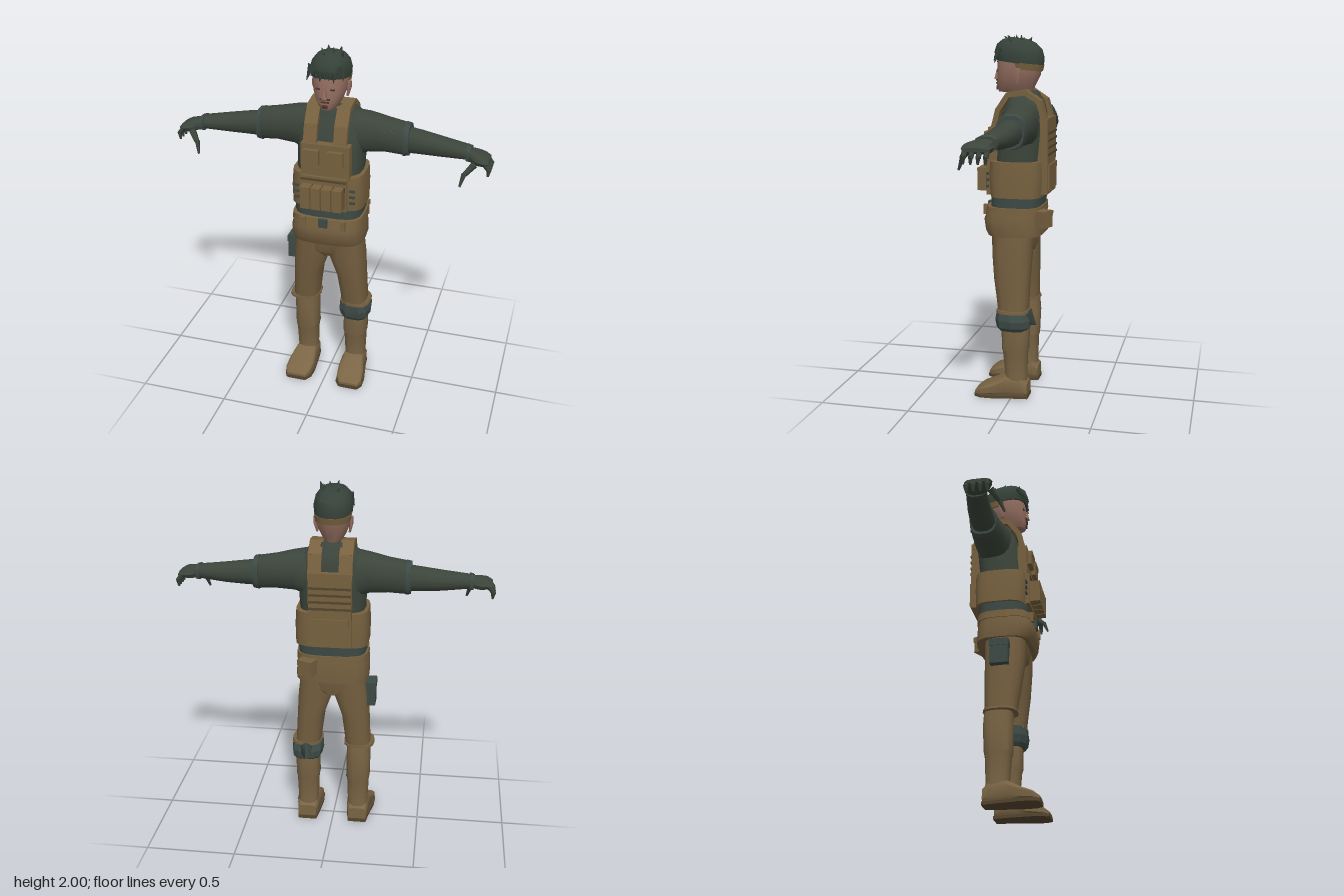
import * as THREE from 'three';
import { toCreasedNormals } from 'three/addons/utils/BufferGeometryUtils.js';

const mat = (name, color) => Object.assign(new THREE.MeshStandardMaterial({ color }), { name });

// Closed loft along an axis. Each section: [position, a0, a1, b0, b1],
// with (a,b) = (z,x) along y, (y,z) along x, (x,y) along z.
function loft(axis, sections, sides = 14, p = 2.6, crease = 0.7) {
  const pos = [], idx = [], n = sides, m = sections.length;
  const put = (t, a, b) => pos.push(...(axis === 'y' ? [b, t, a] : axis === 'x' ? [t, a, b] : [a, b, t]));
  const bulge = v => Math.sign(v) * Math.abs(v) ** (2 / p);
  for (const [t, a0, a1, b0, b1] of sections)
    for (let i = 0; i < n; i++) {
      const u = (i + 0.5) / n * Math.PI * 2;
      put(t, (a0 + a1) / 2 + (a1 - a0) / 2 * bulge(Math.cos(u)), (b0 + b1) / 2 + (b1 - b0) / 2 * bulge(Math.sin(u)));
    }
  for (const s of [sections[0], sections[m - 1]]) put(s[0], (s[1] + s[2]) / 2, (s[3] + s[4]) / 2);
  for (let i = 0; i < n; i++) {
    const j = (i + 1) % n;
    for (let k = 0; k < m - 1; k++) {
      const r = k * n, q = r + n;
      idx.push(r + i, r + j, q + j, r + i, q + j, q + i);
    }
    idx.push(m * n, j, i, m * n + 1, (m - 1) * n + i, (m - 1) * n + j);
  }
  const g = new THREE.BufferGeometry();
  g.setAttribute('position', new THREE.Float32BufferAttribute(pos, 3));
  g.setIndex(idx);
  return toCreasedNormals(g, crease);
}

// Box from its bounds
const box = (x0, x1, y0, y1, z0, z1) =>
  new THREE.BoxGeometry(x1 - x0, y1 - y0, z1 - z0).translate((x0 + x1) / 2, (y0 + y1) / 2, (z0 + z1) / 2);

// Tapered rod between two points
function rod(a, b, r0, r1, sides = 5) {
  const A = new THREE.Vector3(...a), d = new THREE.Vector3(...b).sub(A);
  return new THREE.CylinderGeometry(r1, r0, d.length(), sides)
    .applyQuaternion(new THREE.Quaternion().setFromUnitVectors(new THREE.Vector3(0, 1, 0), d.clone().normalize()))
    .translate(A.x + d.x / 2, A.y + d.y / 2, A.z + d.z / 2);
}

// Copy reflected in x, with the corner order restored
function reflect(geo) {
  const g = geo.index ? geo.toNonIndexed() : geo.clone();
  g.deleteAttribute('uv');
  for (const key of ['position', 'normal']) {
    const a = g.attributes[key], v = i => [-a.getX(i), a.getY(i), a.getZ(i)];
    for (let i = 0; i < a.count; i += 3) {
      const [p, q, r] = [v(i), v(i + 1), v(i + 2)];
      a.setXYZ(i, ...p); a.setXYZ(i + 1, ...r); a.setXYZ(i + 2, ...q);
    }
  }
  return g;
}

export function createModel() {
  const model = new THREE.Group();
  model.name = 'soldier';
  const tan = mat('vestTan', 0x77613f), khaki = mat('trouserKhaki', 0x735e3f), boot = mat('bootTan', 0x7a6545),
    green = mat('shirtGreen', 0x3c453b), slate = mat('padSlate', 0x3d4a45), hairMat = mat('hairDark', 0x364239),
    skin = mat('skin', 0x946e60), dark = mat('faceDark', 0x4a352d), seam = mat('seamBrown', 0x54452e);
  const add = (name, geo, m) => {
    const mesh = new THREE.Mesh(geo, m);
    mesh.name = name;
    model.add(mesh);
  };
  const pair = (name, geo, m) => { add(name + 'Left', geo, m); add(name + 'Right', reflect(geo), m); };

  // Head and neck
  add('head', loft('y', [[1.6, -.1, .03, -.06, .06], [1.69, -.085, .05, -.06, .06], [1.694, -.08, .11, -.045, .045],
    [1.725, -.09, .12, -.064, .064], [1.78, -.118, .116, -.086, .086], [1.85, -.13, .114, -.093, .093],
    [1.93, -.11, .09, -.08, .08]], 14, 2.4), skin);
  add('nose', new THREE.ConeGeometry(.018, .06, 4).rotateY(Math.PI / 4).translate(0, 1.79, .122), skin);
  add('mouth', box(-.022, .022, 1.737, 1.744, .116, .123), dark);
  add('moustache', box(-.027, .027, 1.752, 1.76, .114, .122), dark);
  add('chinBeard', box(-.014, .014, 1.705, 1.725, .113, .121), dark);
  pair('eye', box(.022, .05, 1.803, 1.811, .105, .112), dark);
  pair('ear', loft('y', [[1.74, -.02, .0, .08, .092], [1.79, -.035, .01, .085, .106], [1.825, -.03, .005, .085, .104]], 8), skin);

  // Hair, tilted down towards the back, with a band under it
  const tilt = geo => {
    const p = geo.attributes.position;
    for (let i = 0; i < p.count; i++) p.setY(i, p.getY(i) + .12 * p.getZ(i));
    return geo;
  };
  add('hair', tilt(loft('y', [[1.85, -.136, .118, -.1, .1], [1.89, -.14, .132, -.105, .105], [1.935, -.128, .118, -.094, .094],
    [1.965, -.095, .085, -.07, .07], [1.98, -.05, .04, -.035, .035]], 14, 2.3)), hairMat);
  add('headBand', tilt(loft('y', [[1.82, -.131, .06, -.095, .095], [1.855, -.138, .06, -.1, .1]], 14, 2.3)), tan);
  for (let i = 0; i < 9; i++) {
    const x = (i - 4) * .022, z = .115 - 1.6 * x * x;
    add('fringeLock', rod([x * .9, 1.925, z - .02], [x * 1.1, 1.85 + .013 * ((i * 5) % 3), z + .012], .019, .002, 4), hairMat);
    const u = i * 2.4, r = .015 + .006 * i;
    add('topTuft', rod([r * Math.cos(u), 1.955, r * Math.sin(u)],
      [1.3 * r * Math.cos(u), 1.997 - .003 * ((i * 2) % 5), 1.5 * r * Math.sin(u) + .01], .016, .001, 4), hairMat);
  }

  // Shirt body and collar
  add('shirt', loft('y', [[1.05, -.135, .125, -.182, .182], [1.3, -.14, .118, -.178, .178], [1.48, -.155, .1, -.185, .185],
    [1.59, -.15, .072, -.185, .185], [1.645, -.135, .045, -.15, .15], [1.68, -.11, .035, -.095, .095]], 18, 3), green);
  add('collar', loft('y', [[1.64, -.13, .065, -.115, .115], [1.685, -.115, .055, -.085, .085], [1.7, -.1, .045, -.07, .07]], 14), green);

  // Arms, sleeve cuffs and gloves
  pair('sleeve', loft('x', [[.13, 1.4, 1.655, -.14, .06], [.2, 1.43, 1.645, -.147, .045], [.3, 1.437, 1.622, -.14, .03],
    [.4, 1.43, 1.605, -.128, .022], [.415, 1.438, 1.598, -.12, .016]], 14, 2.5), green);
  pair('sleeveCuff', loft('x', [[.392, 1.427, 1.608, -.131, .026], [.42, 1.432, 1.602, -.126, .022]], 14, 2.8), slate);
  pair('forearm', loft('x', [[.38, 1.445, 1.587, -.118, .016], [.47, 1.447, 1.575, -.115, .018], [.58, 1.45, 1.558, -.1, .022],
    [.75, 1.463, 1.532, -.07, .035]], 12, 2.3), green);
  pair('gloveCuff', loft('x', [[.725, 1.453, 1.54, -.076, .042], [.745, 1.453, 1.535, -.073, .045]], 10, 2.4), slate);
  pair('hand', loft('x', [[.735, 1.463, 1.525, -.06, .04], [.785, 1.452, 1.518, -.066, .075], [.82, 1.458, 1.508, -.062, .085],
    [.848, 1.468, 1.49, -.05, .07]], 10, 2.6), green);
  for (let i = 0; i < 4; i++) {
    const z = -.045 + i * .036;
    pair('finger', rod([.825, 1.48, z], [.853, 1.445, z], .015, .013), green);
    pair('fingerTip', rod([.853, 1.45, z], [.848, 1.412, z + .004], .013, .006), green);
  }
  pair('thumb', rod([.775, 1.47, .065], [.733, 1.425, .105], .02, .014), green);
  pair('thumbTip', rod([.733, 1.43, .103], [.717, 1.365, .128], .014, .006), green);
  add('armPatch', new THREE.BoxGeometry(.06, .045, .009).rotateX(-.75).translate(.31, 1.578, .008), slate);
  add('armPatchInset', new THREE.BoxGeometry(.042, .03, .009).rotateX(-.75).translate(.31, 1.581, .011), green);

  // Vest: side wrap, plates and shoulder straps
  add('sideWrap', loft('y', [[1.135, -.155, .132, -.2, .2], [1.24, -.16, .14, -.202, .202], [1.33, -.158, .135, -.196, .196]], 20, 4.2), tan);
  add('frontPlateUpper', box(-.128, .138, 1.32, 1.51, .085, .138), tan);
  add('frontPlateLower', box(-.128, .128, 1.14, 1.33, .1, .152), tan);
  add('backPlate', box(-.115, .115, 1.15, 1.56, -.185, -.13), tan);
  add('backPanel', box(-.1, .1, 1.17, 1.31, -.194, -.18), tan);
  const path = [[.118, 1.49], [.09, 1.6], [.035, 1.682], [-.06, 1.695], [-.135, 1.645], [-.168, 1.53]];
  path.slice(1).forEach(([z, y], i) => {
    const [z0, y0] = path[i], dy = y - y0, dz = z - z0;
    pair('shoulderStrap', new THREE.BoxGeometry(.072, .028, Math.hypot(dy, dz) + .012)
      .rotateX(Math.atan2(dy, -dz)).translate(.082, (y + y0) / 2, (z + z0) / 2), tan);
  });
  pair('chestPouch', box(.024, .108, 1.4, 1.482, .13, .163), tan);
  pair('chestPouchFlap', box(.022, .11, 1.455, 1.484, .158, .167), tan);
  for (let i = 0; i < 4; i++) {
    const x = -.087 + i * .058;
    add('magazinePouch', box(x - .026, x + .026, 1.16, 1.285, .145, .207), tan);
    add('pouchGap', box(x + .0262, x + .0318, 1.16, 1.285, .15, .155), seam);
  }
  for (let i = 0; i < 4; i++) {
    add('backWebbing', box(-.113, .113, 1.36 + i * .038, 1.372 + i * .038, -.191, -.183), seam);
    if (i < 3) pair('sideLoop', box(.14, .17, 1.185 + i * .035, 1.198 + i * .035, .134, .143), slate);
  }
  add('frontWebbing', box(-.126, .126, 1.306, 1.318, .15, .157), seam);

  // Waist band, belt and jacket hem
  add('waistBand', loft('y', [[1.07, -.142, .135, -.187, .187], [1.14, -.145, .135, -.188, .188]], 18, 3.6), slate);
  add('jacketHem', loft('y', [[.92, -.152, .15, -.2, .2], [.95, -.152, .165, -.203, .203], [1.01, -.148, .174, -.2, .2],
    [1.05, -.143, .158, -.193, .193]], 18, 3.6), khaki);
  add('belt', loft('y', [[1.038, -.152, .165, -.2, .2], [1.08, -.15, .158, -.198, .198]], 18, 3.6), tan);
  add('buckle', box(-.025, .025, 1.035, 1.085, .155, .172), slate);
  pair('beltLoop', box(.1, .125, 1.03, 1.085, .145, .17), tan);
  add('backPouch', new THREE.BoxGeometry(.085, .085, .06).rotateY(-.45).translate(.125, 1.015, -.165), tan);
  add('backPouchFlap', new THREE.BoxGeometry(.09, .03, .066).rotateY(-.45).translate(.125, 1.05, -.166), tan);

  // Trousers
  add('hips', loft('y', [[.82, -.095, .1, -.03, .03], [.85, -.1, .118, -.15, .15], [.93, -.105, .128, -.185, .185]], 16, 3), khaki);
  pair('thigh', loft('y', [[.5, -.088, .08, .07, .216], [.56, -.09, .088, .064, .212], [.68, -.093, .106, .048, .206],
    [.81, -.098, .12, .002, .2], [.93, -.1, .125, -.005, .186]], 14, 2.8), khaki);
  pair('trouserCuff', loft('y', [[.496, -.096, .088, .062, .238], [.51, -.094, .086, .062, .235]], 14, 2.8), khaki);
  add('holster', box(-.24, -.185, .75, .89, -.05, .05), slate);
  add('holsterFlap', box(-.243, -.19, .85, .885, -.053, .053), slate);

  // Knee pad on the left leg, pointed at the back
  add('kneePad', loft('y', [[.395, -.085, .072, .078, .222], [.415, -.105, .085, .065, .235], [.455, -.105, .092, .055, .24],
    [.505, -.08, .085, .06, .225]], 10, 3, .3), slate);
  add('kneePadStrap', rod([.148, .47, -.07], [.148, .425, -.132], .06, .003, 4), slate);

  // Boots
  pair('bootShaft', loft('y', [[.04, -.085, .04, .085, .205], [.13, -.08, .04, .088, .204], [.26, -.085, .052, .083, .209],
    [.28, -.09, .058, .077, .214], [.42, -.096, .06, .08, .216], [.5, -.09, .062, .08, .214]], 12, 2.8), boot);
  pair('foot', loft('z', [[-.09, .095, .2, .012, .09], [-.06, .085, .207, .012, .12], [.035, .08, .212, .012, .128],
    [.11, .075, .228, .012, .088], [.17, .082, .232, .012, .062], [.203, .105, .215, .014, .036]], 12, 4, .5), boot);
  pair('sole', loft('z', [[-.093, .092, .202, 0, .022], [-.03, .083, .21, 0, .022], [.1, .07, .235, 0, .022],
    [.17, .075, .237, 0, .022], [.206, .1, .218, 0, .022]], 8, 6, .5), seam);

  return model;
}
